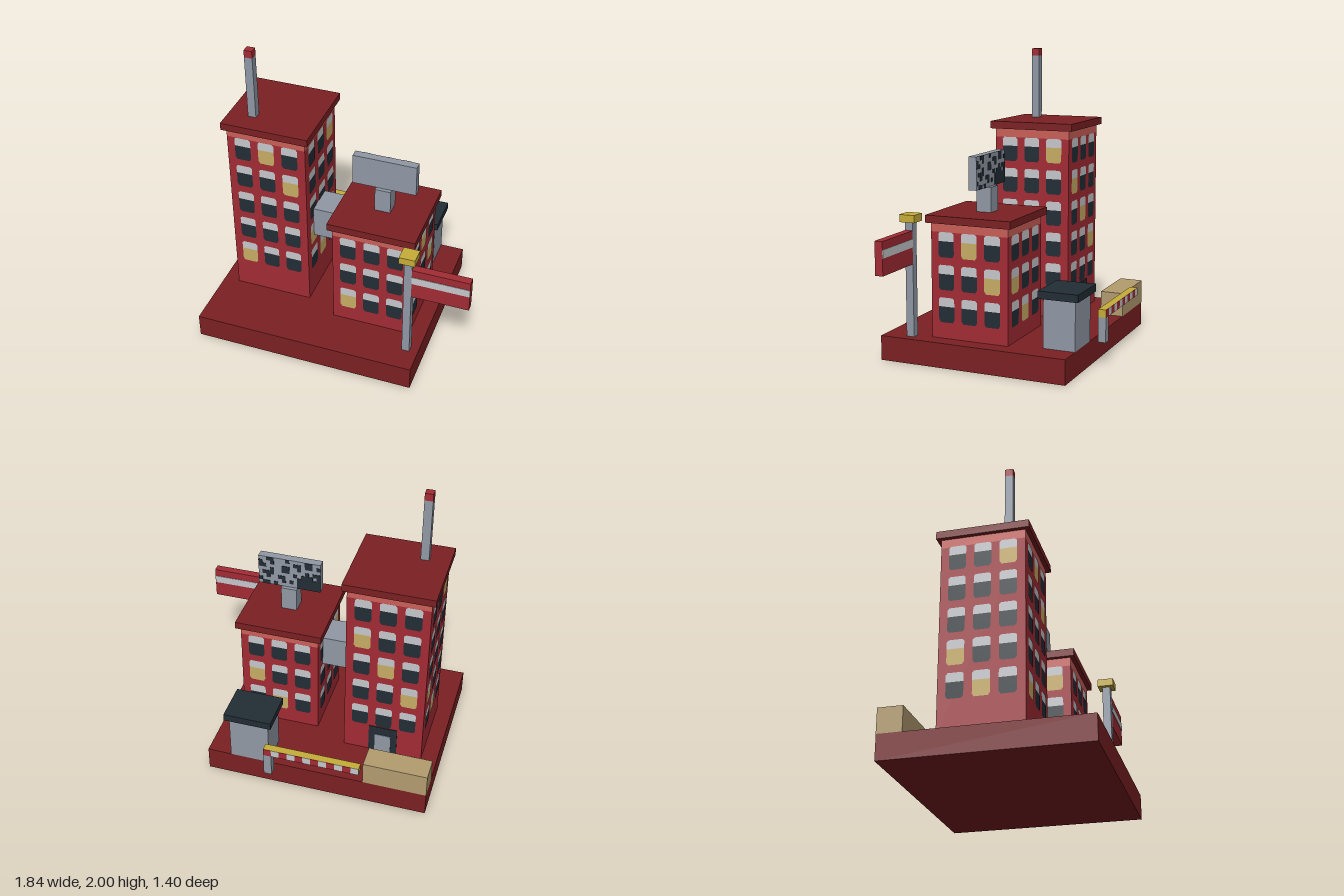
import * as THREE from 'three';

const mat = (name, color) => {
  const m = new THREE.MeshStandardMaterial({ color });
  m.name = name;
  return m;
};

export function createModel() {
  const M = {
    brick: mat('brick red', 0xa32b34),
    dark: mat('dark red', 0x7c2023),
    coral: mat('coral trim', 0xcb5f59),
    grey: mat('concrete grey', 0x9199a6),
    white: mat('pale white', 0xc6c8cc),
    glass: mat('dark slate', 0x222d35),
    lit: mat('lit window', 0xc8ad64),
    yellow: mat('yellow', 0xc8ae38),
    sand: mat('sand', 0xb49d70),
  };
  const model = new THREE.Group();
  model.name = 'cityBlock';

  // Box given by its low and high limits on each axis
  const box = (name, m, [x0, x1], [y0, y1], [z0, z1], parent = model) => {
    const mesh = new THREE.Mesh(new THREE.BoxGeometry(x1 - x0, y1 - y0, z1 - z0), m);
    mesh.position.set((x0 + x1) / 2, (y0 + y1) / 2, (z0 + z1) / 2);
    mesh.name = name;
    parent.add(mesh);
    return mesh;
  };

  // Window faces: pale blind with clipped top corners, pane with clipped bottom corners
  const W = 0.055, H = 0.165, C = 0.012, BLIND = 0.105;
  const face = (pts) => new THREE.ShapeGeometry(new THREE.Shape(pts.map(([x, y]) => new THREE.Vector2(x, y))));
  const paneGeo = face([[-W + C, 0], [W - C, 0], [W, C * 1.5], [W, BLIND], [-W, BLIND], [-W, C * 1.5]]);
  const blindGeo = face([[-W, BLIND], [W, BLIND], [W, H - C], [W - C, H], [-W + C, H], [-W, H - C]]);

  // One wall of windows; lit panes run along diagonals
  const windowWall = (parent, cx, cz, half, angle, top, rows, litOffset) => {
    const wall = new THREE.Group();
    wall.name = 'windowWall';
    wall.position.set(cx, 0, cz);
    wall.rotation.y = angle;
    for (let r = 0; r < rows; r++) for (let c = 0; c < 3; c++) {
      const lit = (c - r + 10) % 5 === litOffset;
      for (const [name, geo, m] of [['windowPane', paneGeo, lit ? M.lit : M.glass], ['windowBlind', blindGeo, M.white]]) {
        const mesh = new THREE.Mesh(geo, m);
        mesh.name = name;
        mesh.position.set((c - 1) * 0.162, top - H - r * 0.215, half + 0.003);
        wall.add(mesh);
      }
    }
    parent.add(wall);
  };

  // Building: brick walls, coral band, overhanging roof and four window walls
  const building = (name, cx, cz, top, rows, litOffsets) => {
    const g = new THREE.Group();
    g.name = name;
    const h = 0.27, e = 0.298;
    const span = (c, d) => [c - d, c + d];
    box('walls', M.brick, span(cx, h), [0.165, top - 0.058], span(cz, h), g);
    box('trimBand', M.coral, span(cx, h), [top - 0.058, top], span(cz, h), g);
    box('roof', M.dark, span(cx, e), [top, top + 0.05], span(cz, e), g);
    litOffsets.forEach((o, i) => windowWall(g, cx, cz, h, i * Math.PI / 2, top - 0.057, rows, o));
    model.add(g);
  };

  box('base', M.dark, [-0.92, 0.595], [0, 0.165], [-0.595, 0.7]);
  building('tower', -0.543, 0, 1.465, 5, [1, 2, 4, 2]);
  building('lowBuilding', 0.215, 0.108, 0.925, 3, [3, 1, 4, 2]);
  box('bridge', M.grey, [-0.273, -0.055], [0.65, 0.87], [-0.055, 0.16]);

  // Mast on the tower
  box('mast', M.grey, [-0.705, -0.65], [1.515, 1.95], [0.108, 0.162]);
  box('mastTip', M.brick, [-0.705, -0.65], [1.95, 2], [0.108, 0.162]);

  // Door at the back of the tower
  box('doorFrame', M.glass, [-0.64, -0.446], [0.165, 0.375], [-0.275, -0.268]);
  box('door', M.grey, [-0.597, -0.489], [0.165, 0.31], [-0.278, -0.27]);

  // Billboard with dark patches on its back
  box('billboardPost', M.grey, [0.16, 0.267], [0.975, 1.14], [0.055, 0.16]);
  box('billboardPanel', M.grey, [0, 0.43], [1.14, 1.355], [0.08, 0.135]);
  const patches = [
    '..##...#....##..',
    '#..#.....##.##.#',
    '##....##..#.....',
    '...#..##....#.##',
    '.###.....#.###.#',
    '..#..##...######',
    '#.....#.#.######',
    '.##.#.....######',
  ];
  const cw = 0.43 / 16, ch = 0.215 / 8;
  patches.forEach((row, r) => {
    for (const run of row.matchAll(/#+/g)) {
      const x1 = 0.43 - run.index * cw, y1 = 1.355 - r * ch;
      box('billboardPatch', M.glass, [x1 - run[0].length * cw, x1], [y1 - ch, y1], [0.077, 0.081]);
    }
  });

  // Corner pole with its projecting sign
  box('pole', M.grey, [0.485, 0.537], [0.165, 0.925], [0.486, 0.54]);
  box('poleCap', M.yellow, [0.457, 0.563], [0.925, 0.975], [0.459, 0.566]);
  box('sign', M.brick, [0.537, 0.916], [0.65, 0.87], [0.486, 0.54]);
  for (const z of [0.485, 0.541]) {
    box('signStripe', M.white, [0.537, 0.916], [0.762, 0.816], [z - 0.002, z + 0.002]);
  }

  // Guard booth
  box('boothWalls', M.grey, [0.16, 0.43], [0.165, 0.49], [-0.595, -0.38]);
  box('boothRoof', M.glass, [0.132, 0.457], [0.49, 0.54], [-0.622, -0.353]);

  // Barrier with striped outer face
  box('barrierPost', M.grey, [0.106, 0.16], [0.165, 0.33], [-0.701, -0.648]);
  box('barrierArm', M.yellow, [-0.488, 0.16], [0.33, 0.382], [-0.7, -0.648]);
  for (let i = 0; i < 12; i++) {
    const x = 0.16 - i * 0.054;
    box('barrierStripe', i % 2 ? M.white : M.brick, [x - 0.054, x], [0.33, 0.382], [-0.702, -0.699]);
  }

  box('crate', M.sand, [-0.92, -0.49], [0.165, 0.328], [-0.596, -0.435]);
  return model;
}
